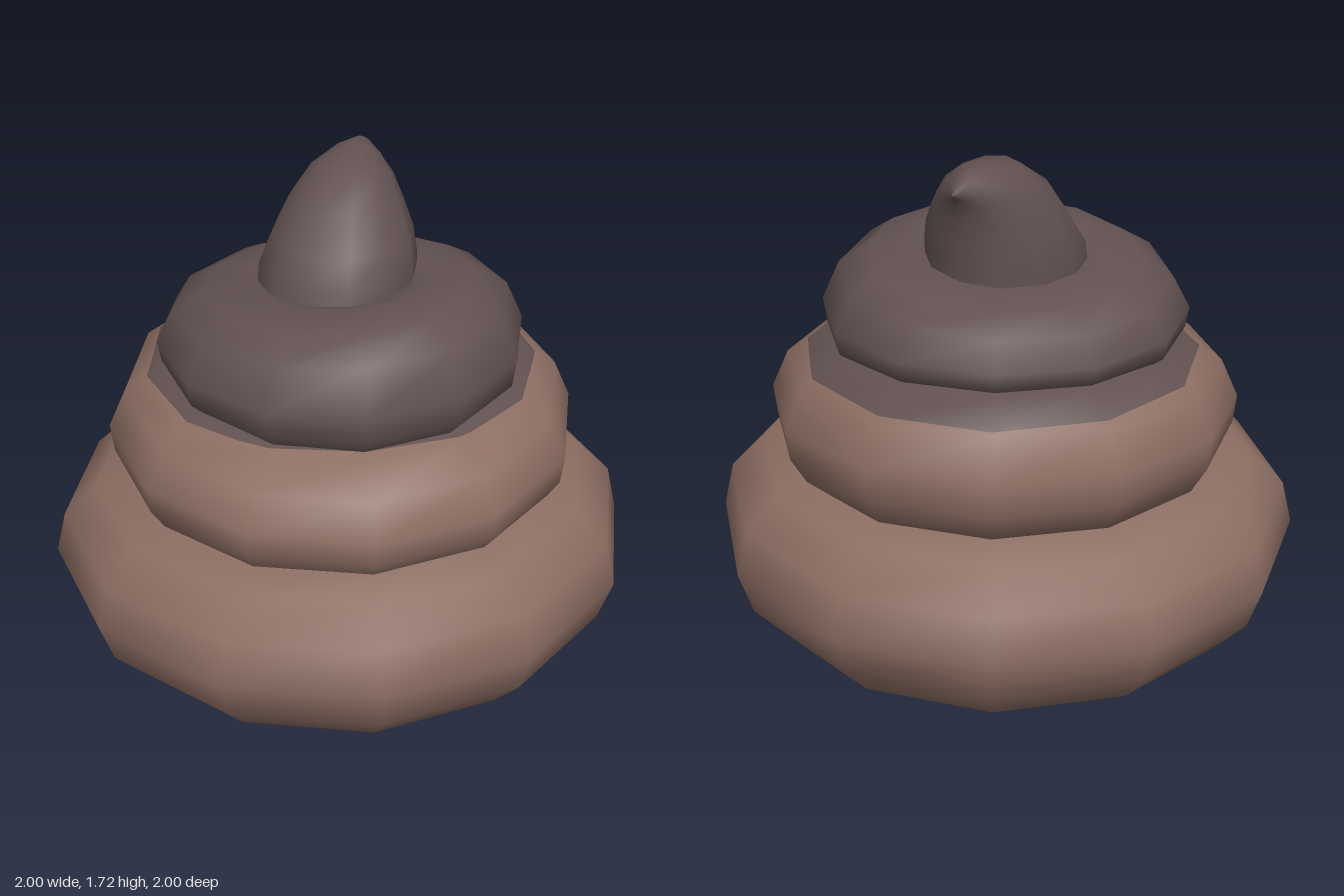
import * as THREE from 'three';

const SIDES = 12;

// Smooth skin over closed loops of points, listed from bottom to top
function loft(rows) {
  const index = [];
  const n = rows[0].length;
  for (let i = 0; i < rows.length - 1; i++) {
    for (let j = 0; j < n; j++) {
      const a = i * n + j, b = i * n + (j + 1) % n;
      index.push(a, b, b + n, a, b + n, a + n);
    }
  }
  const geometry = new THREE.BufferGeometry().setFromPoints(rows.flat());
  geometry.setIndex(index);
  geometry.computeVertexNormals();
  return geometry;
}

function loop(pointAt) {
  return Array.from({ length: SIDES }, (_, j) => {
    const angle = (j / SIDES) * Math.PI * 2;
    return pointAt(Math.sin(angle), Math.cos(angle));
  });
}

// Coil from a [radius, height] profile; the slope [x, z] blends from low to high
function coil(profile, low, high, zCentre = 0) {
  const y0 = profile[0][1], y1 = profile[profile.length - 1][1];
  return loft(profile.map(([r, y]) => {
    const t = (y - y0) / (y1 - y0);
    const sx = THREE.MathUtils.lerp(low[0], high[0], t);
    const sz = THREE.MathUtils.lerp(low[1], high[1], t);
    return loop((s, c) => new THREE.Vector3(r * s, y + r * (s * sx + c * sz), r * c + zCentre));
  }));
}

// Keeps the part of a geometry above (sign 1) or below (sign -1) a level
function cut(source, level, sign) {
  const geometry = source.toNonIndexed();
  const p = geometry.attributes.position, m = geometry.attributes.normal;
  const points = [], normals = [];
  for (let i = 0; i < p.count; i += 3) {
    const corners = [0, 1, 2].map((k) => ({
      p: new THREE.Vector3().fromBufferAttribute(p, i + k),
      n: new THREE.Vector3().fromBufferAttribute(m, i + k),
    }));
    const kept = [];
    corners.forEach((a, k) => {
      const b = corners[(k + 1) % 3];
      const da = (a.p.y - level) * sign, db = (b.p.y - level) * sign;
      if (da >= 0) kept.push(a);
      if (da * db < 0) {
        const t = da / (da - db);
        kept.push({ p: a.p.clone().lerp(b.p, t), n: a.n.clone().lerp(b.n, t).normalize() });
      }
    });
    for (let k = 1; k < kept.length - 1; k++) {
      for (const v of [kept[0], kept[k], kept[k + 1]]) {
        points.push(...v.p.toArray());
        normals.push(...v.n.toArray());
      }
    }
  }
  const result = new THREE.BufferGeometry();
  result.setAttribute('position', new THREE.Float32BufferAttribute(points, 3));
  result.setAttribute('normal', new THREE.Float32BufferAttribute(normals, 3));
  return result;
}

export function createModel() {
  const group = new THREE.Group();
  const brown = new THREE.MeshStandardMaterial({ color: 0x8d6e63 });
  brown.name = 'warm brown';
  const dark = new THREE.MeshStandardMaterial({ color: 0x625251 });
  dark.name = 'dark brown';

  function add(name, geometry, material) {
    const mesh = new THREE.Mesh(geometry, material);
    mesh.name = name;
    group.add(mesh);
  }

  // Bottom coil with a shallow rounded underside
  add('bottomCoil', coil([
    [0, 0.005], [0.5, 0.03], [0.84, 0.1], [0.95, 0.22], [1, 0.365],
    [0.965, 0.515], [0.85, 0.63], [0.68, 0.67], [0.4, 0.68],
  ], [0.01, 0.02], [0.025, 0.01]), brown);

  // Middle coil, dark above a level line
  const middle = coil([
    [0.6, 0.6], [0.73, 0.65], [0.785, 0.74], [0.797, 0.84],
    [0.74, 0.97], [0.62, 1.05], [0.4, 1.08],
  ], [0, 0], [-0.03, -0.06], -0.015);
  add('middleCoil', cut(middle, 1.02, -1), brown);
  add('middleCoilTop', cut(middle, 1.02, 1), dark);

  // Top coil, thicker at the front left
  add('topCoil', coil([
    [0.38, 1.02], [0.54, 1.02], [0.605, 1.08], [0.618, 1.16],
    [0.56, 1.28], [0.46, 1.34], [0.32, 1.365], [0.2, 1.33],
  ], [-0.04, -0.04], [0.07, 0.05], -0.005), dark);

  // Curled tip: [front z, front y, back z, back y, half width, centre x]
  const sections = [
    [0.25, 1.28, -0.32, 1.26, 0.265, -0.03],
    [0.22, 1.4, -0.33, 1.4, 0.262, -0.03],
    [0.16, 1.49, -0.34, 1.48, 0.235, -0.03],
    [0.06, 1.61, -0.35, 1.55, 0.188, -0.04],
    [-0.08, 1.7, -0.37, 1.6, 0.135, -0.05],
    [-0.25, 1.725, -0.385, 1.625, 0.075, -0.06],
    [-0.35, 1.71, -0.405, 1.64, 0.03, -0.07],
    [-0.43, 1.665, -0.43, 1.665, 0, -0.08],
  ];
  add('curledTip', loft(sections.map(([fz, fy, bz, by, w, x]) => loop((s, c) =>
    new THREE.Vector3(x + w * s, (fy + by + c * (fy - by)) / 2, (fz + bz + c * (fz - bz)) / 2)))), dark);

  return group;
}
